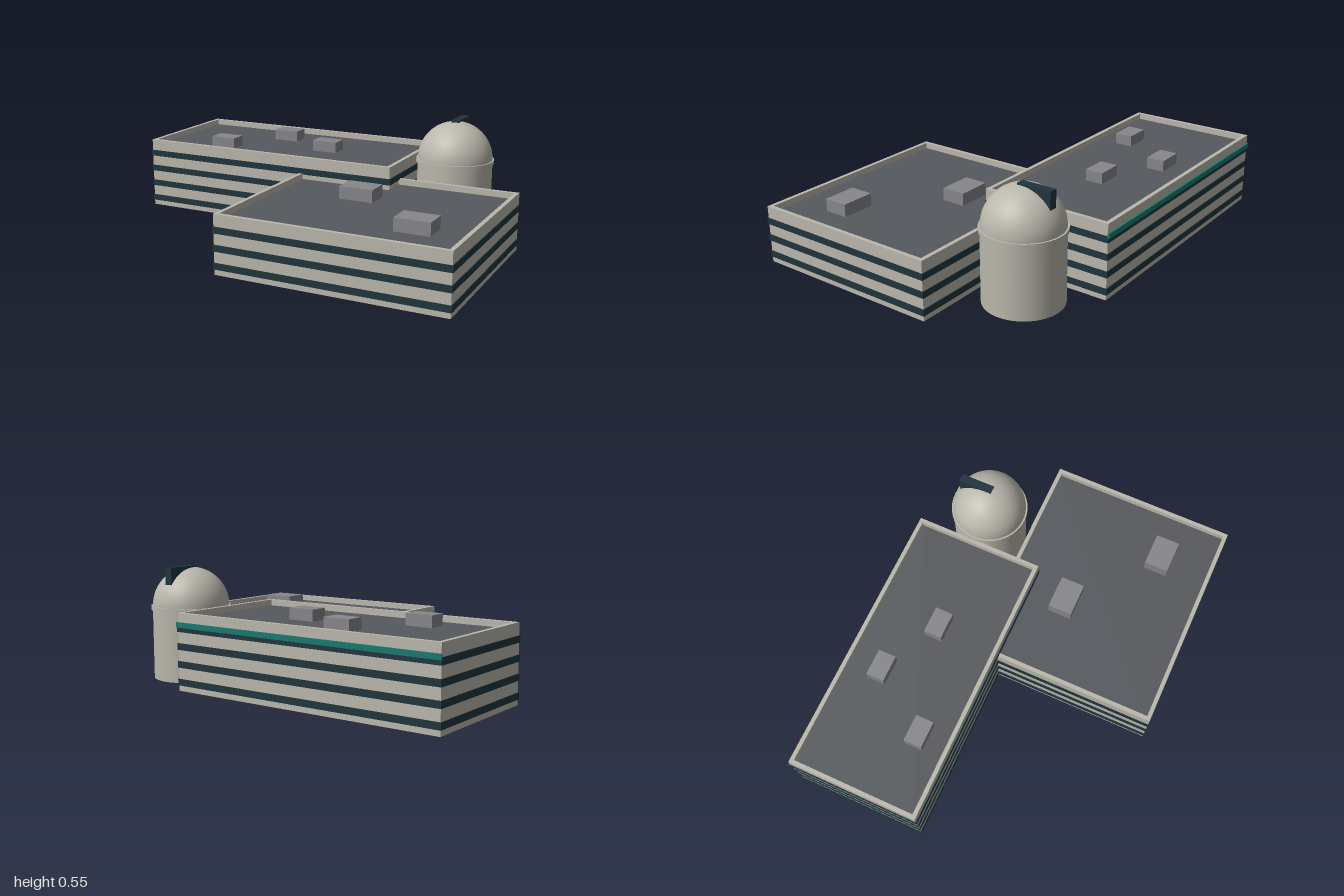
import * as THREE from 'three';

const mat = (name, color) => {
  const m = new THREE.MeshStandardMaterial({ color });
  m.name = name;
  return m;
};

export function createModel() {
  const concrete = mat('concrete', 0xbab7ac);
  const glass = mat('dark glass', 0x20353d);
  const roofing = mat('roofing', 0x56595d);
  const metal = mat('roof unit grey', 0x87878b);
  const teal = mat('teal', 0x177a6e);

  const model = new THREE.Group();
  model.name = 'observatoryBuilding';

  const add = (parent, name, geometry, material, x = 0, y = 0, z = 0) => {
    const mesh = new THREE.Mesh(geometry, material);
    mesh.name = name;
    mesh.position.set(x, y, z);
    parent.add(mesh);
    return mesh;
  };
  // Box given by its limits on each axis
  const box = (parent, name, material, [x0, x1], [y0, y1], [z0, z1]) =>
    add(parent, name, new THREE.BoxGeometry(x1 - x0, y1 - y0, z1 - z0), material,
      (x0 + x1) / 2, (y0 + y1) / 2, (z0 + z1) / 2);

  const FLOOR = 0.0833, BAND = 0.031, PROUD = 0.004, PARAPET = 0.031, RIM = 0.02;

  // Office wing: walls, window bands on every floor, recessed roof, parapet and roof units
  function wing(name, floors, [x0, x1], [z0, z1], unitTop, units) {
    const g = new THREE.Group();
    g.name = name;
    model.add(g);
    const h = floors * FLOOR;
    const wx = [x0 + PROUD, x1 - PROUD], wz = [z0 + PROUD, z1 - PROUD];
    box(g, 'walls', concrete, wx, [0, h], wz);
    for (let i = 0; i < floors; i++) {
      const y = (i + 0.5) * FLOOR;
      box(g, 'windowBand', glass, [x0, x1], [y - BAND / 2, y + BAND / 2], [z0, z1]);
    }
    const w = wx[1] - wx[0], d = wz[1] - wz[0];
    const rect = (Type, a, b) => new Type([[-a, -b], [a, -b], [a, b], [-a, b]]
      .map(([x, y]) => new THREE.Vector2(x, y)));
    const ring = rect(THREE.Shape, w / 2, d / 2);
    ring.holes.push(rect(THREE.Path, w / 2 - RIM, d / 2 - RIM));
    const rim = new THREE.ExtrudeGeometry(ring, { depth: PARAPET, bevelEnabled: false });
    rim.rotateX(-Math.PI / 2);
    add(g, 'parapet', rim, concrete, (x0 + x1) / 2, h, (z0 + z1) / 2);
    box(g, 'roof', roofing, [wx[0] + RIM, wx[1] - RIM], [h - 0.002, h + 0.002],
      [wz[0] + RIM, wz[1] - RIM]);
    for (const [ux, uz] of units) box(g, 'roofUnit', metal, ux, [h, unitTop], uz);
    return g;
  }

  const rear = wing('rearWing', 4, [-1, 0.4], [-0.733, -0.07], 0.39, [
    [[-0.468, -0.334], [-0.59, -0.5]],
    [[-0.157, -0.023], [-0.436, -0.346]],
    [[-0.686, -0.552], [-0.282, -0.192]],
  ]);
  // Coloured strip along the back wall
  box(rear, 'backStrip', teal, [-1, 0.4], [0.297, 0.321], [-0.738, -0.729]);

  wing('frontWing', 3, [-0.1, 1], [-0.217, 0.734], 0.313, [
    [[0.243, 0.412], [0.05, 0.17]],
    [[0.66, 0.827], [0.4, 0.52]],
  ]);

  // Round tower with a dome
  const tower = new THREE.Group();
  tower.name = 'observatoryTower';
  tower.position.set(0.6, 0, -0.438);
  model.add(tower);
  add(tower, 'drum', new THREE.CylinderGeometry(0.187, 0.187, 0.35, 48), concrete, 0, 0.175, 0);
  add(tower, 'domeRing', new THREE.CylinderGeometry(0.194, 0.194, 0.02, 48), concrete, 0, 0.348, 0);
  add(tower, 'dome', new THREE.SphereGeometry(0.186, 48, 20, 0, Math.PI * 2, 0, Math.PI / 2),
    concrete, 0, 0.358, 0);
  box(tower, 'domeSlit', glass, [-0.02, 0.02], [0.41, 0.551], [-0.15, 0.02]);

  return model;
}
